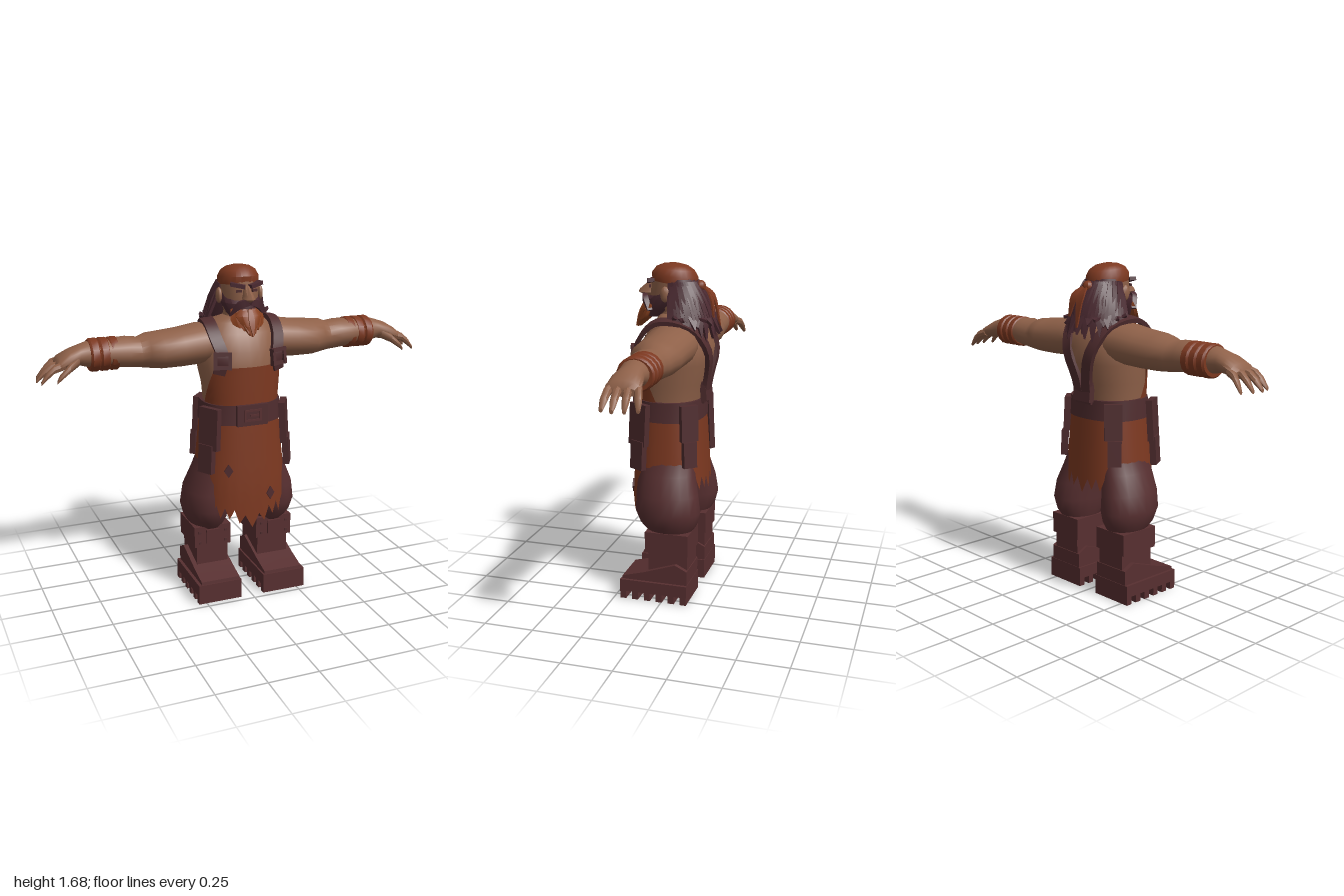
import * as THREE from 'three';
import { toCreasedNormals } from 'three/addons/utils/BufferGeometryUtils.js';

const V = (x, y, z) => new THREE.Vector3(x, y, z);
const lerp = THREE.MathUtils.lerp;

function material(name, color, side = THREE.FrontSide) {
  const m = new THREE.MeshStandardMaterial({ color, side });
  m.name = name;
  return m;
}

// Closed skin over a list of rings, each ring an array of Vector3
function skinRings(rings) {
  const n = rings[0].length, pos = [], idx = [];
  rings.forEach(r => r.forEach(p => pos.push(p.x, p.y, p.z)));
  for (let i = 0; i < rings.length - 1; i++)
    for (let j = 0; j < n; j++) {
      const k = (j + 1) % n, a = i * n + j, b = i * n + k, c = b + n, d = a + n;
      idx.push(a, b, c, a, c, d);
    }
  [0, rings.length - 1].forEach((r, end) => {
    const mid = rings[r].reduce((s, p) => s.add(p), V(0, 0, 0)).divideScalar(n);
    const m = pos.length / 3;
    pos.push(mid.x, mid.y, mid.z);
    for (let j = 0; j < n; j++) {
      const a = r * n + j, b = r * n + (j + 1) % n;
      end ? idx.push(m, a, b) : idx.push(m, b, a);
    }
  });
  const g = new THREE.BufferGeometry();
  g.setAttribute('position', new THREE.Float32BufferAttribute(pos, 3));
  g.setIndex(idx);
  return g;
}

// Point on a rounded outline; p = 2 is an ellipse, higher is squarer
function outline(a, rx, rz, p = 2) {
  const f = v => Math.sign(v) * Math.pow(Math.abs(v), 2 / p);
  return [rx * f(Math.sin(a)), rz * f(Math.cos(a))];
}

// Rows are [y, centre x, centre z, radius x, radius z]
function loft(rows, n = 20, p = 2) {
  return skinRings(rows.map(([y, cx, cz, rx, rz]) => Array.from({ length: n }, (_, j) => {
    const [x, z] = outline(j / n * Math.PI * 2, rx, rz, p);
    return V(cx + x, y, cz + z);
  })));
}

// Rows are [x, centre z, centre y, radius z, radius y]
function loftX(rows, n = 16, p = 2) {
  const g = loft(rows, n, p), a = g.attributes.position;
  for (let i = 0; i < a.count; i++) a.setXYZ(i, a.getY(i), a.getZ(i), a.getX(i));
  return g;
}

// Flat band along a curve, facing away from the body by normalAt(point)
function strip(points, widths, thick, normalAt, steps = 8) {
  const curve = new THREE.CatmullRomCurve3(points.map(p => V(...p)));
  const rings = [];
  for (let i = 0; i <= steps; i++) {
    const t = i / steps, p = curve.getPoint(t), T = curve.getTangent(t);
    const S = T.clone().cross(normalAt(p)).normalize(), N = S.clone().cross(T);
    const f = t * (widths.length - 1), k = Math.min(Math.floor(f), widths.length - 2);
    const w = lerp(widths[k], widths[k + 1], f - k) / 2;
    rings.push([[-1, 1], [1, 1], [1, -1], [-1, -1]].map(([s, q]) =>
      p.clone().addScaledVector(S, s * w).addScaledVector(N, q * thick / 2)));
  }
  return skinRings(rings);
}

// Open sheet from a function of u and v
function sheet(nu, nv, f) {
  const g = new THREE.PlaneGeometry(1, 1, nu, nv), a = g.attributes.position;
  for (let i = 0; i < a.count; i++) a.setXYZ(i, ...f(a.getX(i) + 0.5, 0.5 - a.getY(i)));
  return g;
}

// Side profile of [z, y] points, extruded from x0 to x1
function profile(points, x0, x1) {
  const s = new THREE.Shape(points.map(p => new THREE.Vector2(...p)));
  return new THREE.ExtrudeGeometry(s, { depth: x1 - x0, bevelEnabled: false })
    .rotateY(-Math.PI / 2).translate(x1, 0, 0);
}

const box = (w, h, d, x, y, z, ry = 0, rx = 0, rz = 0) =>
  new THREE.BoxGeometry(w, h, d).rotateZ(rz).rotateX(rx).rotateY(ry).translate(x, y, z);

function flipX(geo) {
  const g = geo.clone(), a = g.attributes.position, src = geo.attributes.position;
  for (let i = 0; i < a.count; i++) {
    const j = i % 3 === 1 ? i + 1 : i % 3 === 2 ? i - 1 : i;
    a.setXYZ(i, -src.getX(j), src.getY(j), src.getZ(j));
  }
  return toCreasedNormals(g, 0.7);
}

export function createModel() {
  const model = new THREE.Group();
  model.name = 'bearded smith';
  const skin = material('skin', 0x8f6149);
  const rust = material('rust cloth', 0x7c3820, THREE.DoubleSide);
  const ginger = material('ginger beard', 0x87401f);
  const leather = material('dark leather', 0x4f2c2e);
  const boot = material('boot leather', 0x572f30);
  const hair = material('dark hair', 0x4a2930);

  const add = (name, geo, mat) => {
    const m = new THREE.Mesh(toCreasedNormals(geo, 0.7), mat);
    m.name = name;
    model.add(m);
    return m;
  };
  const pair = (name, geo, mat) => {
    const l = add(name + 'Left', geo, mat);
    const r = new THREE.Mesh(flipX(l.geometry), mat);
    r.name = name + 'Right';
    model.add(r);
  };

  // Boots: cleats, sole, upper, shaft and studded cuff
  for (let i = 0; i < 6; i++) pair('bootCleat', box(0.23, 0.042, 0.032, 0.176, 0.021, 0.202 - i * 0.0635), boot);
  pair('bootSole', box(0.23, 0.062, 0.35, 0.176, 0.071, 0.043), boot);
  pair('bootUpper', profile([[0.212, 0.1], [0.21, 0.117], [0.1, 0.147], [-0.07, 0.205], [-0.13, 0.175], [-0.13, 0.1]], 0.07, 0.275), boot);
  pair('bootShaft', box(0.167, 0.18, 0.205, 0.168, 0.18, -0.025), boot);
  pair('bootCuff', box(0.195, 0.11, 0.225, 0.17, 0.31, -0.022), boot);
  pair('cuffPlate', box(0.07, 0.075, 0.012, 0.17, 0.31, 0.095), boot);
  for (const x of [0.1, 0.24]) for (const y of [0.28, 0.335])
    pair('cuffStud', box(0.012, 0.012, 0.008, x, y, 0.093), leather);

  // Baggy trousers
  pair('trouserLeg', loft([
    [0.35, 0.17, -0.015, 0.085, 0.11], [0.4, 0.177, -0.01, 0.108, 0.148], [0.46, 0.18, -0.006, 0.12, 0.167],
    [0.55, 0.172, 0, 0.116, 0.16], [0.65, 0.14, 0.01, 0.105, 0.147], [0.78, 0.1, 0.02, 0.095, 0.14], [0.95, 0.09, 0.02, 0.08, 0.13]]), boot);

  // Ragged apron skirt, long in front and short at the sides
  const hemPts = [[0, 0.42], [0.6, 0.46], [1.1, 0.53], [1.57, 0.62], [2.0, 0.66], [2.6, 0.6], [3.15, 0.57]];
  const hem = a => {
    const k = Math.max(1, hemPts.findIndex(h => h[0] >= a)), [a0, y0] = hemPts[k - 1], [a1, y1] = hemPts[k];
    return lerp(y0, y1, (a - a0) / (a1 - a0));
  };
  add('apronSkirt', sheet(56, 6, (u, v) => {
    const a = (u - 0.5) * Math.PI * 2, i = Math.round(u * 56);
    const tooth = (i % 2 ? 0.03 : -0.03) * (1 + 0.4 * Math.sin(i * 2.3));
    const y = lerp(0.97, hem(Math.abs(a)) + tooth, v), s = THREE.MathUtils.clamp((0.97 - y) / 0.4, 0, 1);
    const [x, z] = outline(a, lerp(0.195, 0.235, s), lerp(0.165, 0.19, s), 2.4);
    return [x, y, z + 0.022];
  }), rust);
  for (const [x, y, z] of [[-0.12, 0.69, 0.191], [0.1, 0.55, 0.203]])
    add('apronPatch', new THREE.CylinderGeometry(0.035, 0.035, 0.009, 4).rotateX(Math.PI / 2).scale(0.65, 1, 1).rotateY(x * 2).translate(x, y, z), leather);

  // Torso and neck
  add('torso', loft([
    [0.97, 0, 0.027, 0.18, 0.155], [1.1, 0, 0.02, 0.188, 0.168], [1.2, 0, 0.002, 0.205, 0.181],
    [1.28, 0, -0.008, 0.205, 0.178], [1.36, 0, -0.01, 0.19, 0.145], [1.41, 0, -0.01, 0.145, 0.105],
    [1.44, 0, 0.01, 0.075, 0.072], [1.52, 0, 0.02, 0.062, 0.065]], 28, 2.2), skin);
  add('apronBib', sheet(20, 5, (u, v) => {
    const y = lerp(1.21, 1.0, v), a = (u - 0.5) * 2 * lerp(0.85, 1.5, v);
    const [x, z] = outline(a, lerp(0.214, 0.192, v), lerp(0.193, 0.167, v), 2.2);
    return [x, y, z + lerp(0.002, 0.027, v)];
  }), rust);

  // Belt, buckle and hanging plates
  add('belt', loft([[0.92, 0, 0.023, 0.207, 0.172], [1.02, 0, 0.023, 0.2, 0.168]], 32, 2.4), leather);
  add('beltBuckle', box(0.16, 0.105, 0.02, 0, 0.972, 0.2), leather);
  for (const s of [-1, 1]) {
    add('buckleRim', box(0.085, 0.01, 0.012, 0, 0.972 + s * 0.025, 0.21), boot);
    add('buckleSide', box(0.01, 0.06, 0.012, s * 0.04, 0.972, 0.21), boot);
  }
  add('buckleTongue', box(0.045, 0.01, 0.01, 0.01, 0.972, 0.211), boot);
  pair('frontPlateUpper', box(0.115, 0.21, 0.032, 0.197, 0.905, 0.137, 1.05, -0.06), leather);
  pair('frontPlateLower', box(0.085, 0.145, 0.032, 0.215, 0.752, 0.137, 1.05, -0.06), leather);
  pair('backPlateUpper', box(0.09, 0.18, 0.03, 0.168, 0.92, -0.11, 2.3, -0.05), leather);
  pair('backPlateLower', box(0.07, 0.13, 0.03, 0.185, 0.765, -0.118, 2.3, -0.05), leather);

  // Crossing braces with chest buckles
  const outward = p => V(p.x * 0.3, Math.max(p.y - 1.2, 0), p.z).normalize();
  pair('brace', strip([
    [0.155, 1.18, 0.155], [0.14, 1.26, 0.172], [0.16, 1.35, 0.13], [0.165, 1.41, 0.06], [0.155, 1.415, -0.03],
    [0.125, 1.37, -0.125], [0.08, 1.26, -0.183], [0.035, 1.12, -0.165], [0.025, 1.0, -0.146]], [0.058, 0.058], 0.022, outward, 24), leather);
  for (const s of [-1, 1]) {
    pair('braceBuckleBar', box(0.085, 0.018, 0.022, 0.145, 1.25 + s * 0.033, 0.182, 0.35, -0.15), leather);
    pair('braceBuckleSide', box(0.018, 0.084, 0.022, 0.145 + s * 0.033, 1.25, 0.182 - s * 0.012, 0.35, -0.15), leather);
  }
  add('backBracePlate', box(0.12, 0.1, 0.03, 0, 1.06, -0.152, 0, 0.1), leather);

  // Arms, palms and fingers
  pair('arm', loftX([
    [0.08, -0.02, 1.31, 0.12, 0.085], [0.2, -0.02, 1.302, 0.135, 0.1], [0.3, -0.018, 1.292, 0.126, 0.095],
    [0.4, -0.018, 1.287, 0.126, 0.09], [0.46, -0.03, 1.286, 0.1, 0.085], [0.5, -0.035, 1.28, 0.086, 0.074],
    [0.56, -0.03, 1.288, 0.092, 0.075], [0.63, -0.03, 1.29, 0.085, 0.07], [0.75, -0.032, 1.292, 0.068, 0.062],
    [0.79, -0.032, 1.292, 0.062, 0.05], [0.84, -0.03, 1.28, 0.074, 0.045], [0.89, -0.032, 1.262, 0.08, 0.034],
    [0.91, -0.035, 1.25, 0.07, 0.02]], 18), skin);
  [[-0.092, -0.122, 0.965], [-0.053, -0.07, 0.99], [-0.012, -0.018, 1.0], [0.026, 0.034, 0.985]].forEach(([z0, z1, tip]) => {
    const row = (t, y, r) => [lerp(0.87, tip, t), lerp(z0, z1, t), y, r, r * 1.1];
    pair('finger', loftX([row(0, 1.262, 0.019), row(0.45, 1.248, 0.019), row(0.75, 1.22, 0.017), row(1, 1.187, 0.009)], 8), skin);
  });
  pair('thumb', loftX([[0.8, 0.015, 1.275, 0.02, 0.025], [0.85, 0.045, 1.25, 0.02, 0.022], [0.9, 0.055, 1.21, 0.015, 0.016], [0.915, 0.055, 1.19, 0.007, 0.008]], 8), skin);

  // Three ribbed bracer rings
  for (let i = 0; i < 3; i++) {
    const x = 0.605 + i * 0.047, row = (d, k) => [x + d, -0.035, 1.286, 0.088 * k, 0.08 * k];
    pair('bracerRing', loftX([row(0, 0.91), row(0.007, 1), row(0.038, 1), row(0.047, 0.91)], 18), rust);
  }

  // Head and face
  add('head', loft([[1.42, 0, 0.025, 0.055, 0.065], [1.47, 0, 0.035, 0.08, 0.09], [1.53, 0, 0.025, 0.092, 0.108], [1.62, 0, 0.015, 0.092, 0.108]]), skin);
  add('nose', loft([[1.52, 0, 0.14, 0.02, 0.03], [1.535, 0, 0.145, 0.03, 0.055], [1.55, 0, 0.142, 0.024, 0.05], [1.595, 0, 0.118, 0.013, 0.02]], 8), skin);
  pair('ear', new THREE.SphereGeometry(0.03, 10, 8).scale(0.5, 1.3, 0.8).translate(0.106, 1.54, 0.03), skin);
  pair('brow', box(0.072, 0.018, 0.035, 0.045, 1.597, 0.122, 0.35, 0, 0.2), hair);
  pair('eye', box(0.028, 0.012, 0.009, 0.04, 1.57, 0.127, 0.3), leather);

  // Cap with a knot and two tails
  add('cap', loft([[1.59, 0, 0.01, 0.097, 0.113], [1.625, 0, 0.01, 0.099, 0.115], [1.655, 0, 0.008, 0.084, 0.095], [1.673, 0, 0.005, 0.057, 0.062], [1.681, 0, 0.005, 0.02, 0.022]], 24)
    .applyMatrix4(new THREE.Matrix4().makeShear(0, 0, 0, 0, 0, 0.1)), rust);
  add('capKnot', new THREE.SphereGeometry(0.028, 8, 6).translate(0, 1.575, -0.12), rust);
  [[0.05, 1.43, -0.2], [-0.02, 1.38, -0.215]].forEach(e => add('capTail',
    strip([[0, 1.575, -0.13], [e[0] * 0.6, 1.53, -0.18], e], [0.02, 0.05, 0.01], 0.008, () => V(0, 0.3, -1)), rust));

  // Beard and moustache
  add('upperBeard', loft([[1.42, 0, 0.1, 0.05, 0.05], [1.46, 0, 0.07, 0.08, 0.085], [1.51, 0, 0.042, 0.099, 0.105], [1.555, 0, 0, 0.097, 0.09]], 16), hair);
  pair('moustache', strip([[0.004, 1.522, 0.165], [0.045, 1.507, 0.15], [0.08, 1.455, 0.115]], [0.03, 0.035, 0.008], 0.025, p => V(p.x, 0, 0.12)), hair);
  add('lowerBeard', loft([[1.365, 0, 0.195, 0.012, 0.01], [1.41, 0, 0.165, 0.045, 0.035], [1.455, 0, 0.135, 0.068, 0.05], [1.485, 0, 0.115, 0.055, 0.045]], 10), ginger);
  for (let i = -3; i <= 3; i++) {
    const x = i * 0.021, q = Math.abs(i) * 0.013;
    add('beardLock', strip([[x * 1.05, 1.485, 0.165 - q * 1.3], [x * 1.1, 1.43, 0.19 - q * 1.2], [x * 0.8, 1.362 + q, 0.208 - q]], [0.02, 0.032, 0.003], 0.014, p => V(p.x, 0, 0.1), 5), ginger);
  }

  // Shaggy hair: a solid core under two layers of pointed locks
  add('hairCore', loft([[1.39, 0, -0.085, 0.115, 0.06], [1.44, 0, -0.07, 0.125, 0.075], [1.51, 0, -0.05, 0.113, 0.078], [1.61, 0, -0.012, 0.094, 0.09]], 18), hair);
  for (let layer = 0; layer < 2; layer++)
    for (let i = 0; i < 8; i++) {
      const a = 1.5 + (i + layer * 0.5) * 0.215, wob = Math.sin(i * 4.7 + layer * 2);
      const at = (r, y, back) => [r * Math.sin(a), y, r * Math.cos(a) * 1.05 - back];
      const end = 1.37 - 0.05 * (i / 7) + wob * 0.03 + layer * 0.05;
      pair('hairLock', strip([at(0.094, 1.595, 0.005), at(0.122 + layer * 0.008, 1.51, 0.02), at(0.15, 1.43, 0.03), at(0.172 + wob * 0.012, end, 0.03)],
        [0.03, 0.05, 0.045, 0.003], 0.014, p => V(p.x, 0, p.z + 0.02), 6), hair);
    }
  return model;
}
